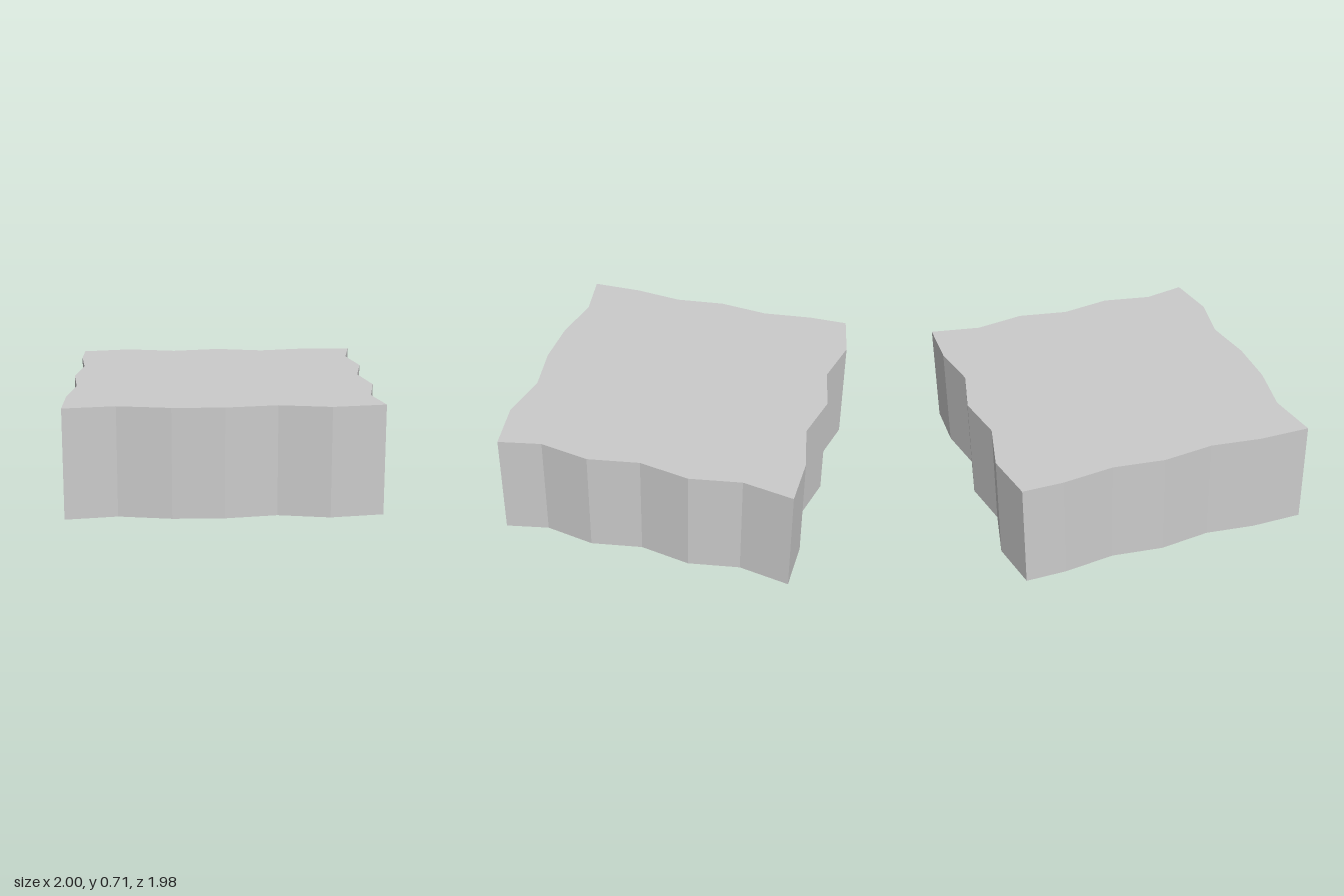
import * as THREE from 'three';

const HEIGHT = 0.71;

// Zigzag outline as [x, z], running along the back, right, front and left edges
const OUTLINE = [
  [-1, -0.92], [-0.67, -0.99], [-0.33, -0.92], [0, -0.99], [0.33, -0.92], [0.66, -0.99],
  [1, -0.99], [0.94, -0.66], [1, -0.33], [0.94, 0], [1, 0.33], [0.94, 0.655],
  [1, 0.93], [0.66, 0.985], [0.33, 0.93], [0, 0.985], [-0.33, 0.985], [-0.67, 0.93],
  [-1, 0.985], [-1, 0.65], [-0.96, 0.33], [-1, 0], [-0.96, -0.33], [-1, -0.66],
];

// Flat-faced vertical wall following the closed outline
function wallGeometry(outline, height) {
  const positions = [];
  outline.forEach(([ax, az], i) => {
    const [bx, bz] = outline[(i + 1) % outline.length];
    positions.push(ax, 0, az, ax, height, az, bx, height, bz);
    positions.push(ax, 0, az, bx, height, bz, bx, 0, bz);
  });
  const geometry = new THREE.BufferGeometry();
  geometry.setAttribute('position', new THREE.Float32BufferAttribute(positions, 3));
  geometry.computeVertexNormals();
  return geometry;
}

export function createModel() {
  const group = new THREE.Group();
  group.name = 'zigzagBlock';
  const material = new THREE.MeshStandardMaterial({
    color: 0xcccccc, flatShading: true, side: THREE.DoubleSide,
  });

  // Side walls, open at the bottom
  const walls = new THREE.Mesh(wallGeometry(OUTLINE, HEIGHT), material);
  walls.name = 'walls';
  group.add(walls);

  // Flat top
  const shape = new THREE.Shape(OUTLINE.map(([x, z]) => new THREE.Vector2(x, -z)));
  const topGeometry = new THREE.ShapeGeometry(shape);
  topGeometry.rotateX(-Math.PI / 2).translate(0, HEIGHT, 0);
  const top = new THREE.Mesh(topGeometry, material);
  top.name = 'top';
  group.add(top);

  return group;
}
